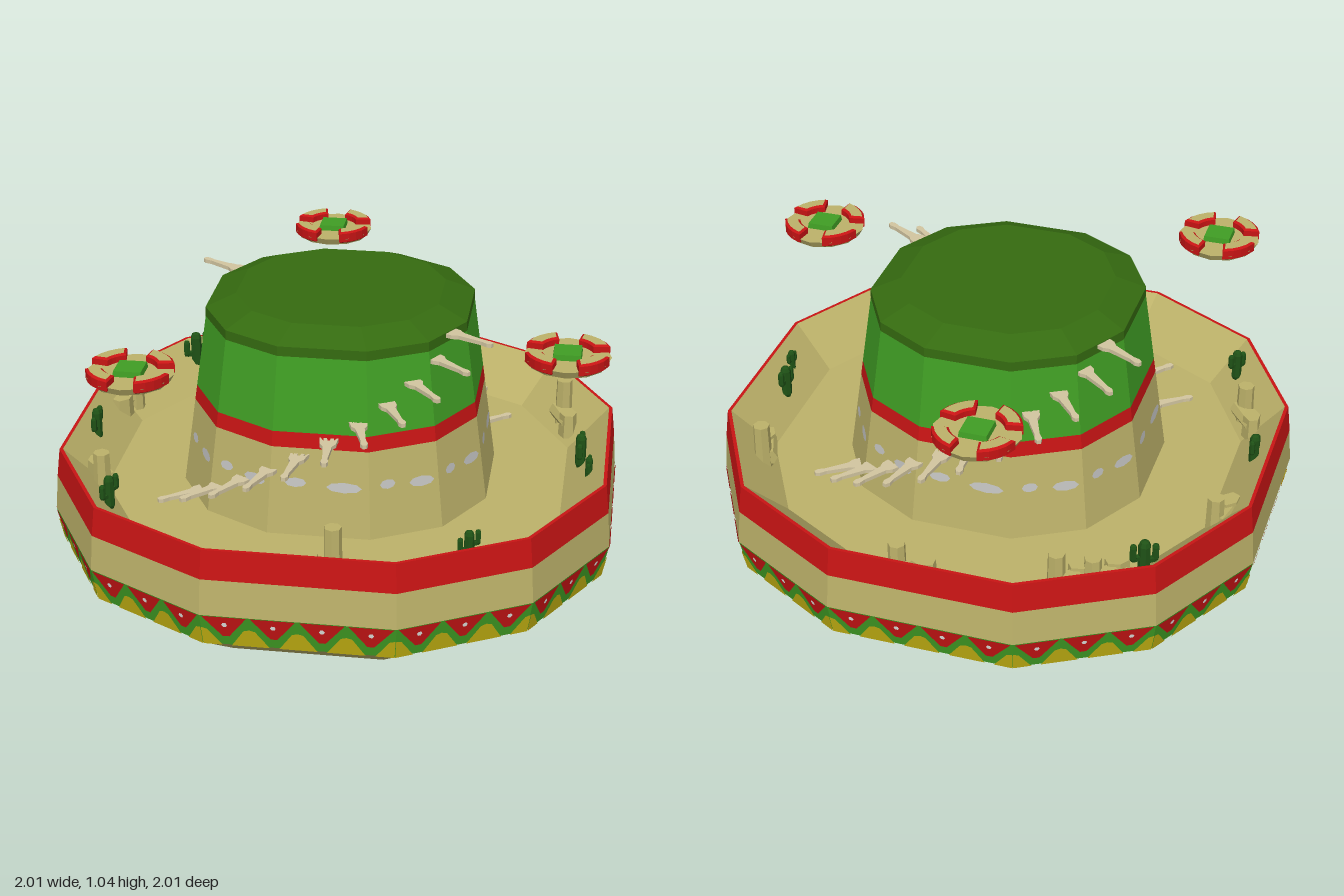
import * as THREE from 'three';

const D = THREE.DoubleSide;
const paint = (name, color) => {
  const m = new THREE.MeshStandardMaterial({ color, flatShading: true, side: D });
  m.name = name;
  return m;
};
const straw = paint('straw', 0xbdb26a), red = paint('red', 0xc81414), green = paint('green', 0x409e24);
const darkGreen = paint('dark green', 0x356b10), cactusGreen = paint('cactus green', 0x1f5216);
const yellow = paint('yellow', 0xc4b212), grey = paint('grey', 0xc2c2c0), bone = paint('bone', 0xd2c5a0);
const white = paint('white', 0xeeeeea);

// Twelve-sided outline shared by brim and crown
const OUT = [];
for (let q = 0; q < 4; q++) {
  for (const [x, z] of [[1, 0.33], [0.76, 0.76], [0.33, 1]]) {
    const c = [1, 0, -1, 0][q], s = [0, 1, 0, -1][q];
    OUT.push([x * c - z * s, x * s + z * c]);
  }
}
const ringPoint = (r, y, i) => new THREE.Vector3(OUT[i % 12][0] * r, y, OUT[i % 12][1] * r);

function meshFrom(points, mat, name) {
  const g = new THREE.BufferGeometry().setFromPoints(points);
  g.computeVertexNormals();
  const m = new THREE.Mesh(g, mat);
  m.name = name;
  return m;
}

// Band of twelve flat panels through a profile of [radius, height]
function band(profile, mat, name) {
  const pts = [];
  for (let k = 0; k + 1 < profile.length; k++) {
    for (let i = 0; i < 12; i++) {
      const [a, b] = [i, i + 1].map(j => ringPoint(...profile[k], j));
      const [d, c] = [i, i + 1].map(j => ringPoint(...profile[k + 1], j));
      pts.push(a, d, c, a, c, b);
    }
  }
  return meshFrom(pts, mat, name);
}

// Flat convex patch painted on both faces of panel i; (s, t) run across and up
function patch(out, lo, hi, i, outline, off) {
  const a = ringPoint(...lo, i), b = ringPoint(...lo, i + 1), d = ringPoint(...hi, i), c = ringPoint(...hi, i + 1);
  const n = d.clone().sub(a).cross(b.clone().sub(a)).normalize();
  for (const side of [1, -1]) {
    const p = outline.map(([s, t]) => a.clone().lerp(b, s).lerp(d.clone().lerp(c, s), t).addScaledVector(n, side * off));
    for (let k = 1; k + 1 < p.length; k++) {
      out.push(p[0], ...(side > 0 ? [p[k + 1], p[k]] : [p[k], p[k + 1]]));
    }
  }
}
const oval = (s, t, w, h, n = 8) => Array.from({ length: n }, (_, k) =>
  [s + w * Math.cos(k / n * 2 * Math.PI), t + h * Math.sin(k / n * 2 * Math.PI)]);

const crownRadius = y => 0.53 - (y - 0.48) * 0.137;

function part(geo, mat, name, x = 0, y = 0, z = 0) {
  const m = new THREE.Mesh(geo, mat);
  m.name = name;
  m.position.set(x, y, z);
  return m;
}

// Skeleton hand used as a step: fingers at the wall, forearm tapering outward
function makeHand() {
  const half = [[0.0, 0.036], [0.035, 0.03], [0.06, 0.028], [0.08, 0.016], [0.17, 0.009], [0.195, 0.013], [0.21, 0.007]];
  const s = new THREE.Shape();
  s.moveTo(0.035, 0.004);
  s.lineTo(0.0, 0.008);
  s.lineTo(0.0, 0.018);
  s.lineTo(0.035, 0.018);
  half.forEach(([x, y]) => s.lineTo(x, y));
  half.reverse().forEach(([x, y]) => s.lineTo(x, -y));
  s.lineTo(0.035, -0.018);
  s.lineTo(0.0, -0.018);
  s.lineTo(0.0, -0.008);
  s.lineTo(0.035, -0.004);
  return new THREE.ExtrudeGeometry(s, { depth: 0.014, bevelEnabled: false }).rotateX(Math.PI / 2);
}

// Floating disc with four rim blocks and a raised centre
function makeDisc(x, z) {
  const g = new THREE.Group();
  g.name = 'floatingDisc';
  g.position.set(x, 0.935, z);
  g.add(part(new THREE.CylinderGeometry(0.15, 0.135, 0.026, 12), straw, 'discBase', 0, 0.013, 0));
  for (let k = 0; k < 4; k++) {
    const a = Math.PI / 4 + k * Math.PI / 2, w = 0.42;
    const s = new THREE.Shape();
    s.absarc(0, 0, 0.14, a - w, a + w, false);
    s.absarc(0, 0, 0.1, a + w * 0.8, a - w * 0.8, true);
    const geo = new THREE.ExtrudeGeometry(s, {
      depth: 0.033, bevelThickness: 0.006, bevelSize: 0.009, bevelSegments: 1, curveSegments: 2,
    }).rotateX(-Math.PI / 2);
    g.add(part(geo, [straw, red], 'rimBlock', 0, 0.014, 0));
  }
  const centre = new THREE.CylinderGeometry(0.066, 0.07, 0.022, 4).rotateY(Math.PI / 4);
  g.add(part(centre, green, 'discCentre', 0, 0.035, 0));
  g.add(part(new THREE.CylinderGeometry(0.04, 0.04, 0.006, 4), green, 'discUnderMark', 0, -0.001, 0));
  return g;
}

function makeCactus(x, y, z, size, turn) {
  const g = new THREE.Group();
  g.name = 'cactus';
  g.position.set(x, y, z);
  g.rotation.y = turn;
  g.scale.setScalar(size);
  g.add(part(new THREE.CapsuleGeometry(0.022, 0.11, 2, 7), cactusGreen, 'cactusTrunk', 0, 0.06, 0));
  for (const s of [-1, 1]) {
    g.add(part(new THREE.BoxGeometry(0.035, 0.016, 0.018), cactusGreen, 'armJoint', s * 0.025, 0.06 + s * 0.01, 0));
    g.add(part(new THREE.CapsuleGeometry(0.013, 0.045, 2, 6), cactusGreen, 'cactusArm', s * 0.042, 0.085 + s * 0.01, 0));
  }
  return g;
}

// Broken stone pieces: a standing stub and two lying slabs
function makeRuin(x, y, z, turn, big) {
  const g = new THREE.Group();
  g.name = 'ruin';
  g.position.set(x, y, z);
  g.rotation.y = turn;
  g.add(part(new THREE.CylinderGeometry(0.03, 0.033, 0.15 * big, 7), straw, 'stoneStub', 0.06, 0.05 * big, 0));
  const slab = part(new THREE.CylinderGeometry(0.045, 0.05, 0.09, 6), straw, 'fallenStone', -0.03, 0.01, 0.01);
  slab.scale.z = 0.7;
  const log = part(new THREE.CylinderGeometry(0.025, 0.03, 0.13, 6).rotateZ(Math.PI / 2), straw, 'fallenColumn', 0.01, 0.02, -0.01);
  log.rotation.y = 0.25;
  g.add(slab, log);
  return g;
}

export function createModel() {
  const root = new THREE.Group();
  root.name = 'hatIsland';

  // Brim: hollow underside, coloured outer wall, sloped inside and floor
  const low = [0.975, 0.13], mid = [1, 0.25];
  root.add(
    band([[0.79, 0], low], straw, 'brimUnderside'),
    band([low, mid], green, 'brimPatternBand'),
    band([mid, [0.99, 0.38]], straw, 'brimWall'),
    band([[0.99, 0.38], [0.978, 0.485], [0.966, 0.485]], red, 'brimRedBand'),
    band([[0.966, 0.485], [0.82, 0.33], [crownRadius(0.33), 0.33]], straw, 'brimFloor'),
  );

  // Triangle pattern around the brim
  const reds = [], yellows = [], dots = [];
  for (let i = 0; i < 12; i++) {
    const n = i % 3 === 2 ? 4 : 3;
    for (let k = 0; k < n; k++) {
      const s = (k + 0.5) / n, h = 0.46 / n;
      patch(reds, low, mid, i, [[s - h, 1], [s + h, 1], [s + h * 0.15, 0.32], [s - h * 0.15, 0.32]], 0.003);
      patch(dots, low, mid, i, oval(s, 0.74, 0.06 / n, 0.08, 6), 0.005);
      for (const e of [-1, 1]) {
        const c = s + e * 0.5 / n;
        const inner = c - e * 0.4 / n;
        patch(yellows, low, mid, i, [[c, 0], [inner, 0], [c - e * 0.12 / n, 0.55], [c, 0.6]], 0.004);
      }
    }
  }
  root.add(meshFrom(reds, red, 'redTriangles'), meshFrom(yellows, yellow, 'yellowTriangles'), meshFrom(dots, white, 'whiteDots'));

  // Crown with red ribbon and dark cap
  const at = y => [crownRadius(y), y];
  root.add(
    band([at(0.33), at(0.645)], straw, 'crownBase'),
    band([at(0.645), at(0.7)], red, 'crownRibbon'),
    band([at(0.7), at(0.965)], green, 'crownSide'),
    band([at(0.965), [0.463, 1.0], [0.36, 1.045], [0.001, 1.045]], darkGreen, 'crownCap'),
  );

  // Pale dashes around the crown
  const dashes = [];
  for (let i = 0; i < 12; i++) {
    patch(dashes, at(0.33), at(0.645), i, oval(0.25, 0.58, 0.18, 0.06), 0.004);
    patch(dashes, at(0.33), at(0.645), i, oval(0.74, 0.61, 0.11, 0.055), 0.004);
  }
  root.add(meshFrom(dashes, grey, 'crownDashes'));

  // Two spiral rows of skeleton hand steps
  const handGeo = makeHand();
  for (let row = 0; row < 2; row++) {
    for (let i = 0; i < 11; i++) {
      const a = THREE.MathUtils.degToRad(143 - 11.3 * i) + row * Math.PI;
      const y = 0.377 + 0.062 * i, r = crownRadius(y) * 1.03 - 0.03;
      const hand = part(handGeo, bone, 'handStep', Math.cos(a) * r, y, Math.sin(a) * r);
      hand.rotation.y = -a;
      root.add(hand);
    }
  }

  // Floating discs
  for (const [x, z] of [[-0.155, -0.825], [0.82, 0.305], [-0.615, 0.655]]) root.add(makeDisc(x, z));

  // Cacti and ruins on the inner slope
  for (const [x, z, y, size, turn] of [
    [-0.69, -0.68, 0.4, 1, 0.7], [-0.91, 0.05, 0.41, 0.85, 1.5], [0.875, -0.02, 0.39, 0.9, 1.5],
    [0.91, 0.12, 0.41, 0.6, 1.5], [0.54, 0.76, 0.4, 0.8, 0.6], [-0.73, 0.58, 0.41, 0.85, 1.1],
  ]) root.add(makeCactus(x, y, z, size, turn));
  for (const [x, z, turn, big] of [
    [0.05, -0.895, 0, 0.9], [-0.47, -0.77, 0.6, 1], [-0.58, -0.71, 0.6, 0.7], [-0.88, -0.27, 1.1, 0.9],
    [-0.83, 0.32, -1.2, 1], [0.04, 0.875, 0, 1.3], [0.8, -0.38, 1.7, 1.2],
  ]) root.add(makeRuin(x, 0.385, z, turn, big));

  return root;
}
